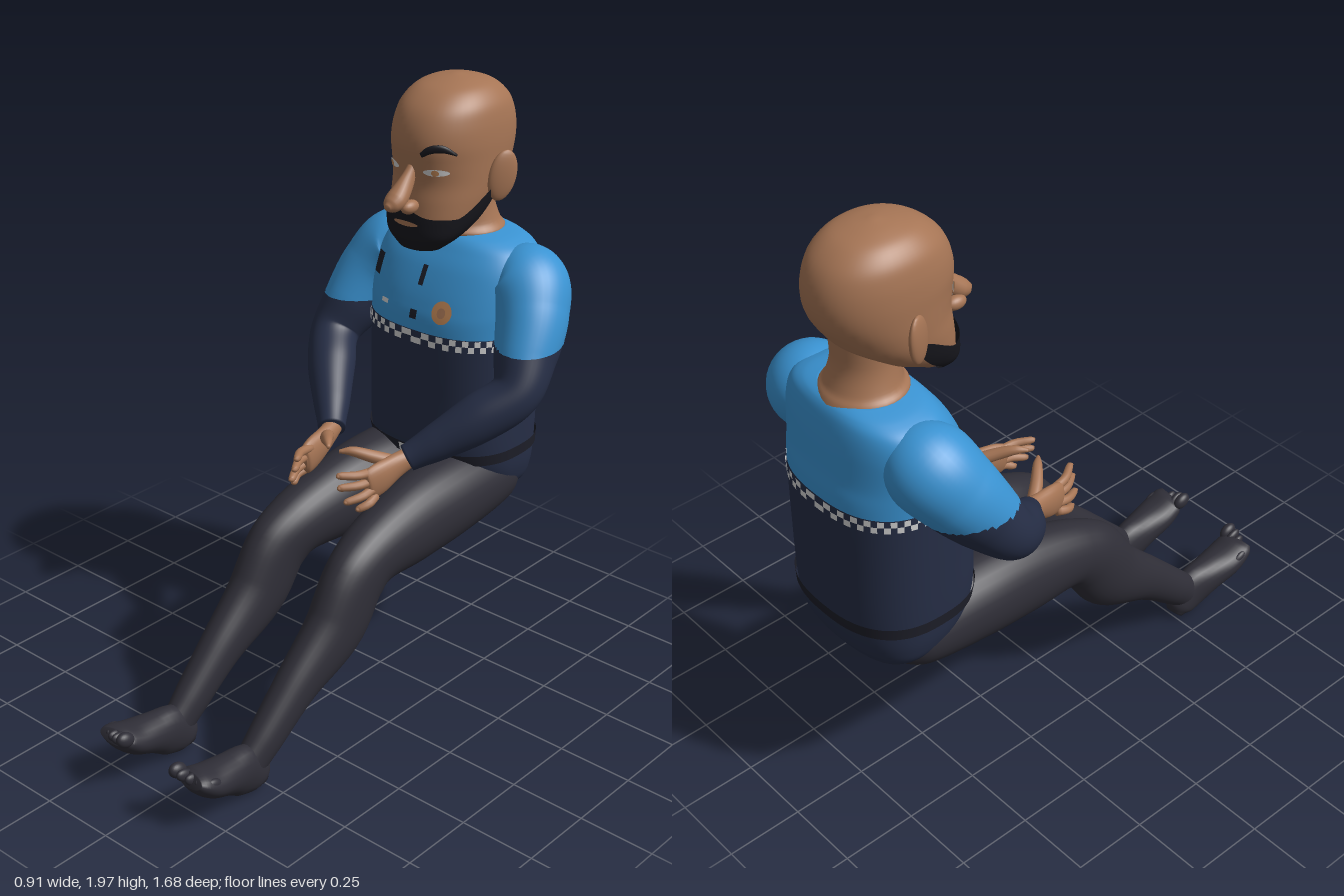
import * as THREE from 'three';
import { mergeGeometries } from 'three/addons/utils/BufferGeometryUtils.js';

const mat = (name, color, side = THREE.FrontSide) => {
  const m = new THREE.MeshStandardMaterial({ color, side });
  m.name = name;
  return m;
};

// Smooth grid surface from fn(i, j); closed grids wrap around in j.
function grid(nu, nv, closed, fn) {
  const pos = [], idx = [], cols = closed ? nv : nv + 1;
  for (let i = 0; i <= nu; i++) for (let j = 0; j < cols; j++) pos.push(...fn(i, j));
  for (let i = 0; i < nu; i++) for (let j = 0; j < nv; j++) {
    const k = (j + 1) % cols, a = i * cols + j, b = i * cols + k;
    idx.push(a, b, b + cols, a, b + cols, a + cols);
  }
  const g = new THREE.BufferGeometry();
  g.setAttribute('position', new THREE.Float32BufferAttribute(pos, 3));
  g.setIndex(idx);
  g.computeVertexNormals();
  return g;
}

// Tapered limb through [x, y, z, radiusAlongRef, otherRadius]; s = -1 mirrors it.
function limb(pts, s = 1, ref = [1, 0, 0], nu = 40, nv = 24) {
  const path = new THREE.CatmullRomCurve3(pts.map(p => new THREE.Vector3(p[0], p[1], p[2])));
  const rad = new THREE.SplineCurve(pts.map(p => new THREE.Vector2(p[3], p[4])));
  const R = new THREE.Vector3(...ref);
  return grid(nu, nv, true, (i, j) => {
    const t = THREE.MathUtils.clamp((i - 1) / (nu - 2), 0, 1), cap = i === 0 || i === nu ? 0 : 1;
    const T = path.getTangent(t), r = rad.getPoint(t);
    const N = R.clone().addScaledVector(T, -T.dot(R)).normalize(), B = T.clone().cross(N);
    const v = s * j / nv * Math.PI * 2;
    const p = path.getPoint(t).addScaledVector(N, cap * r.x * Math.cos(v)).addScaledVector(B, cap * r.y * Math.sin(v));
    return [p.x * s, p.y, p.z];
  });
}

// Upright body from rings [y, frontZ, backZ, halfWidth], with helpers that lie on its surface.
function body(rings, n) {
  const A = new THREE.SplineCurve(rings.map(r => new THREE.Vector2(r[0], r[3])));
  const Z = new THREE.SplineCurve(rings.map(r => new THREE.Vector2(r[1], r[2])));
  const pw = v => Math.sign(v) * Math.abs(v) ** (2 / n);
  const at = (t, phi, off = 0, k = 1) => {
    const a = A.getPoint(t), z = Z.getPoint(t);
    return [k * (Math.max(a.y, 0) + off) * pw(Math.sin(phi)), a.x,
      (z.x + z.y) / 2 + k * ((z.x - z.y) / 2 + off) * pw(Math.cos(phi))];
  };
  const tOf = y => {
    let lo = 0, hi = 1;
    for (let i = 0; i < 30; i++) { const m = (lo + hi) / 2; if (A.getPoint(m).x < y) lo = m; else hi = m; }
    return lo;
  };
  const onFront = (x, y, off) => {
    const t = tOf(y), q = Math.min(1, Math.abs(x) / A.getPoint(t).y);
    return at(t, Math.sign(x) * Math.asin(q ** (n / 2)), off);
  };
  return {
    at, tOf, onFront,
    shell: (nu, nv) => grid(nu, nv, true, (i, j) =>
      at(THREE.MathUtils.clamp((i - 1) / (nu - 2), 0, 1), j / nv * Math.PI * 2, 0, i === 0 || i === nu ? 0 : 1)),
    band: (y0, y1, p0, p1, off, nv) => grid(2, nv, false, (i, j) =>
      at(tOf(y0 + (y1 - y0) * i / 2), p0 + (p1 - p0) * j / nv, off)),
    plate: (x, y, w, h, off = 0.005) => grid(4, 4, false, (i, j) =>
      onFront(x + w * (j / 4 - 0.5), y + h * (i / 4 - 0.5), off)),
    disc: (x, y, w, h, off = 0.005) => grid(3, 20, true, (i, j) => {
      const a = -j / 20 * Math.PI * 2;
      return onFront(x + w * i / 3 * Math.cos(a), y + h * i / 3 * Math.sin(a), off);
    }),
  };
}

// Two-colour garment: faces above height y use group 0, the rest group 1.
function splitAt(g, y) {
  const p = g.attributes.position, old = Array.from(g.index.array), parts = [[], []];
  for (let i = 0; i < p.count; i++) if (Math.abs(p.getY(i) - y) < 0.006) p.setY(i, y);
  for (let i = 0; i < old.length; i += 3) {
    const f = old.slice(i, i + 3);
    parts[(p.getY(f[0]) + p.getY(f[1]) + p.getY(f[2])) / 3 > y ? 0 : 1].push(...f);
  }
  g.setIndex([...parts[0], ...parts[1]]);
  g.addGroup(0, parts[0].length, 0);
  g.addGroup(parts[0].length, parts[1].length, 1);
  return g;
}

export function createModel() {
  const skin = mat('skin', 0xa67555), blue = mat('shirt blue', 0x3a93d2), navy = mat('shirt navy', 0x262e46);
  const cloth = mat('trousers', 0x2f2e37), hair = mat('hair', 0x17171d, THREE.DoubleSide);
  const white = mat('white', 0xd6d6d6, THREE.DoubleSide), black = mat('belt black', 0x1d1e28, THREE.DoubleSide);
  const gold = mat('badge', 0xc08656, THREE.DoubleSide);
  const model = new THREE.Group();
  const add = (name, geo, material) => {
    const m = new THREE.Mesh(geo, material);
    m.name = name;
    model.add(m);
    return m;
  };
  const ball = (name, material, pos, scale, rot = [0, 0, 0]) => {
    const m = add(name, new THREE.SphereGeometry(1, 24, 16), material);
    m.position.set(...pos); m.scale.set(...scale); m.rotation.set(...rot);
  };

  // Torso with blue yoke, checked band and belt
  const torso = body([[0.58, -0.62, -0.74, 0.15], [0.64, -0.52, -0.79, 0.23], [0.70, -0.44, -0.82, 0.258],
    [0.80, -0.385, -0.835, 0.268], [1.0, -0.38, -0.835, 0.272], [1.21, -0.385, -0.83, 0.275],
    [1.3, -0.405, -0.815, 0.28], [1.4, -0.45, -0.8, 0.28], [1.46, -0.49, -0.785, 0.255],
    [1.49, -0.515, -0.77, 0.2], [1.505, -0.54, -0.75, 0.13]], 2.5);
  add('shirt', splitAt(torso.shell(90, 64), 1.21), [blue, navy]);
  const checks = [], N = 72, step = Math.PI * 2 / N;
  for (let r = 0; r < 2; r++) for (let c = r; c < N; c += 2)
    checks.push(torso.band(1.17 + r * 0.02, 1.19 + r * 0.02, c * step, (c + 1) * step, 0.004, 2));
  add('checkedBand', mergeGeometries(checks), white);
  add('belt', torso.band(0.77, 0.808, 0, Math.PI * 2, 0.006, 64), black);
  add('buckle', torso.plate(0, 0.79, 0.075, 0.03, 0.01), white);
  add('radio', torso.plate(-0.2, 1.365, 0.035, 0.065), black);
  add('placketTab', torso.plate(0, 1.38, 0.018, 0.06), black);
  add('chestTab', torso.plate(0, 1.262, 0.026, 0.028), black);
  add('nameTag', torso.plate(-0.125, 1.272, 0.03, 0.014), white);
  add('badge', torso.disc(0.1, 1.287, 0.034, 0.036), gold);
  add('badgeCentre', torso.disc(0.1, 1.287, 0.014, 0.016, 0.008), skin);

  // Neck and head
  add('neck', body([[1.455, -0.56, -0.785, 0.12], [1.5, -0.515, -0.765, 0.135], [1.53, -0.53, -0.745, 0.115],
    [1.6, -0.53, -0.725, 0.1], [1.7, -0.54, -0.73, 0.1]], 2).shell(24, 32), skin);
  const head = body([[1.488, -0.375, -0.47, 0.06], [1.53, -0.357, -0.52, 0.11], [1.58, -0.355, -0.62, 0.138],
    [1.64, -0.36, -0.70, 0.154], [1.70, -0.367, -0.748, 0.161], [1.76, -0.358, -0.782, 0.164],
    [1.82, -0.35, -0.793, 0.165], [1.88, -0.363, -0.783, 0.16], [1.93, -0.393, -0.755, 0.146],
    [1.97, -0.445, -0.705, 0.112], [1.99, -0.505, -0.645, 0.066], [2.0, -0.565, -0.585, 0.01]], 2.15);
  add('head', head.shell(64, 48), skin);
  add('nose', limb([[0, 1.76, -0.375, 0.014, 0.014], [0, 1.71, -0.345, 0.022, 0.028],
    [0, 1.665, -0.298, 0.034, 0.032], [0, 1.652, -0.27, 0.027, 0.024], [0, 1.648, -0.252, 0.01, 0.01]], 1, [1, 0, 0], 20), skin);
  // Beard wraps the jaw and rises into sideburns
  add('beard', grid(14, 48, false, (i, j) => {
    const phi = (j / 48 * 2 - 1) * 1.75, top = 1.6 + 0.02 * Math.exp(-phi * phi * 12)
      + 0.09 * THREE.MathUtils.smoothstep(Math.abs(phi), 1.05, 1.75);
    return head.at(head.tOf(1.488 + (top - 1.488) * Math.max(0, i - 1) / 13), phi, 0.012, i ? 1 : 0);
  }), hair);
  add('lips', head.disc(0, 1.578, 0.042, 0.008, 0.016), skin);
  add('eyebrow', limb([[0.045, 1.8], [0.07, 1.818], [0.1, 1.822], [0.128, 1.802]].map(([x, y], i) =>
    [...head.onFront(x, y, 0.001), [0.008, 0.012, 0.012, 0.004][i], 0.006]), 1, [0, 1, 0], 16, 10), hair);

  for (const s of [1, -1]) {
    const side = s > 0 ? 'left' : 'right';
    // Face details
    add(side + 'Eye', head.disc(s * 0.08, 1.745, 0.034, 0.011, 0.003), white);
    add(side + 'Iris', head.disc(s * 0.08, 1.745, 0.01, 0.01, 0.006), gold);
    ball(side + 'Nostril', skin, [s * 0.028, 1.64, -0.328], [0.022, 0.022, 0.035]);
    ball(side + 'Ear', skin, [s * 0.182, 1.71, -0.585], [0.018, 0.082, 0.048], [-0.2, s * -0.45, s * -0.12]);

    // Arm
    const arm = limb([[0.17, 1.37, -0.63, 0.1, 0.1], [0.255, 1.355, -0.63, 0.133, 0.135], [0.315, 1.28, -0.585, 0.125, 0.118],
      [0.35, 1.18, -0.515, 0.108, 0.1], [0.372, 1.085, -0.44, 0.082, 0.08], [0.305, 1.01, -0.345, 0.078, 0.078],
      [0.22, 0.935, -0.25, 0.06, 0.06], [0.158, 0.885, -0.18, 0.044, 0.044]], s, [0.3, 0.6, 0.7], 90, 40);
    add(side + 'Sleeve', splitAt(arm, 1.21), [blue, navy]);

    // Hand with four fingers fanned downwards and an inward thumb
    add(side + 'Palm', limb([[0.165, 0.89, -0.2, 0.032, 0.03], [0.148, 0.872, -0.14, 0.042, 0.028],
      [0.138, 0.85, -0.07, 0.056, 0.026], [0.13, 0.838, -0.025, 0.052, 0.02], [0.128, 0.836, -0.015, 0.03, 0.01]], s, [0, 1, 0], 20), skin);
    const tips = [[0.088, 0.89, 0.072], [0.095, 0.852, 0.075], [0.115, 0.808, 0.068], [0.135, 0.778, 0.035]];
    tips.forEach(([x, y, z], f) => {
      const by = 0.877 - f * 0.026, bx = 0.128 + f * 0.005;
      add(side + 'Finger' + (f + 1), limb([[bx, by, -0.045, 0.015, 0.015], [(bx + x) / 2 + 0.01, (by + y) / 2, (z - 0.045) / 2, 0.014, 0.014],
        [x, y, z - 0.01, 0.011, 0.011], [x, y, z, 0.004, 0.004]], s, [0, 1, 0], 12, 12), skin);
    });
    add(side + 'Thumb', limb([[0.14, 0.88, -0.14, 0.022, 0.022], [0.095, 0.905, -0.085, 0.02, 0.02],
      [0.05, 0.925, -0.04, 0.015, 0.015], [0.022, 0.925, -0.012, 0.006, 0.006]], s, [0, 1, 0], 14, 14), skin);

    // Leg
    add(side + 'Leg', limb([[0.125, 0.68, -0.71, 0.09, 0.08], [0.13, 0.67, -0.62, 0.125, 0.122], [0.137, 0.66, -0.4, 0.13, 0.142],
      [0.145, 0.643, -0.2, 0.115, 0.14], [0.155, 0.612, 0.0, 0.095, 0.112], [0.162, 0.56, 0.08, 0.085, 0.118],
      [0.165, 0.435, 0.17, 0.08, 0.115], [0.162, 0.305, 0.345, 0.064, 0.078], [0.16, 0.18, 0.485, 0.053, 0.064],
      [0.158, 0.12, 0.55, 0.045, 0.06]], s, [1, 0, 0], 70, 32), cloth);
    // Foot and toes
    add(side + 'Foot', limb([[0.157, 0.05, 0.505, 0.03, 0.03], [0.157, 0.075, 0.525, 0.046, 0.062], [0.158, 0.115, 0.58, 0.052, 0.082],
      [0.162, 0.143, 0.66, 0.062, 0.064], [0.165, 0.165, 0.735, 0.07, 0.05], [0.165, 0.192, 0.785, 0.066, 0.036],
      [0.162, 0.203, 0.805, 0.055, 0.022]], s, [1, 0, 0], 30), cloth);
    for (let k = 0; k < 5; k++)
      ball(side + 'Toe' + (k + 1), cloth, [s * (0.113 + k * 0.026), 0.215 - k * 0.007, 0.805 - k * k * 0.003],
        [k ? 0.014 : 0.02, k ? 0.02 : 0.025, 0.034], [-0.45, 0, 0]);
  }
  return model;
}
